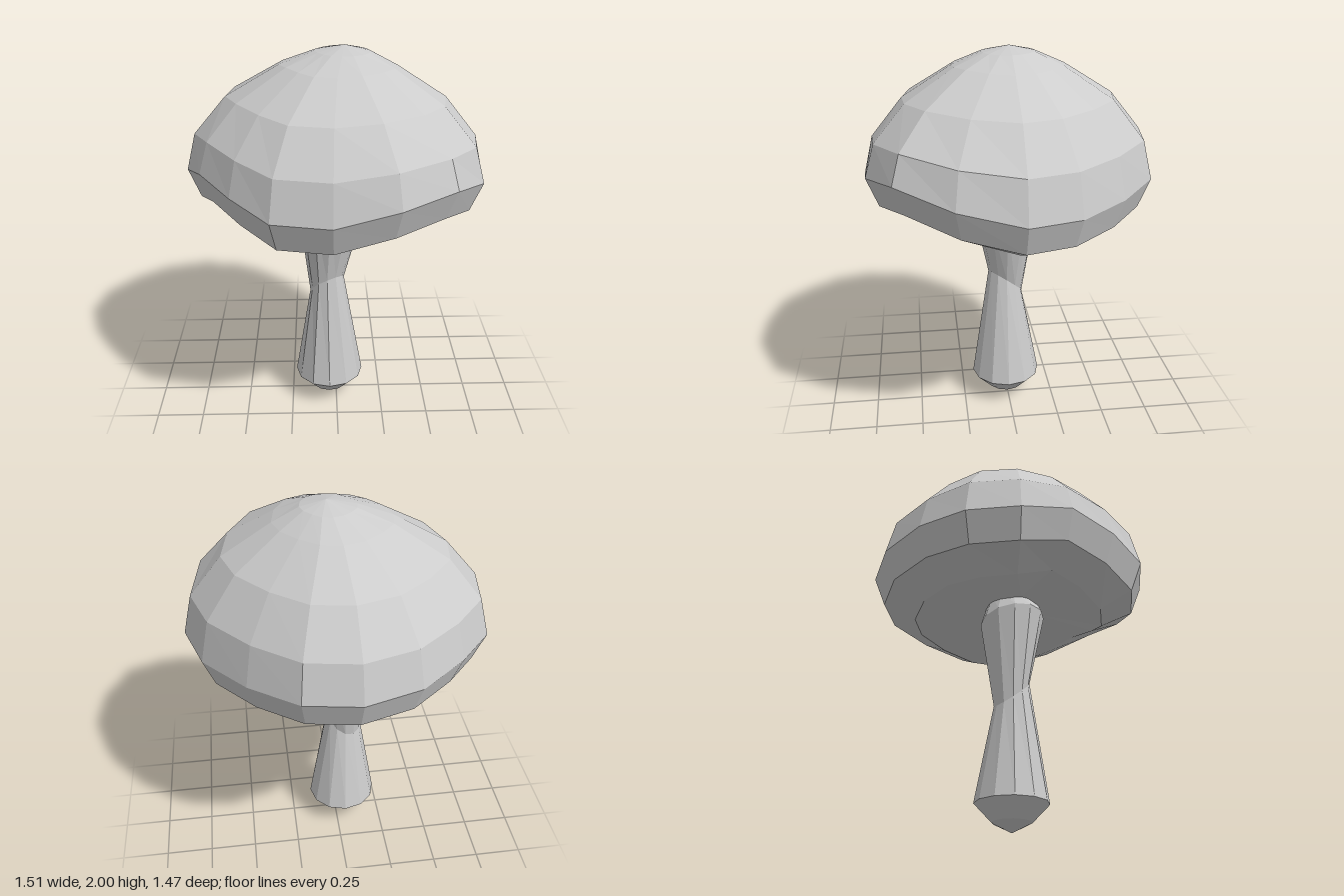
import * as THREE from 'three';

// Skin between successive loops of points, ordered bottom (inside) to top.
function skin(loops) {
  const pos = [];
  const tri = (a, b, c) => {
    if (a.equals(b) || b.equals(c) || c.equals(a)) return;
    for (const p of [a, b, c]) pos.push(p.x, p.y, p.z);
  };
  for (let i = 0; i < loops.length - 1; i++) {
    const lo = loops[i], hi = loops[i + 1], n = lo.length;
    for (let j = 0; j < n; j++) {
      const k = (j + 1) % n;
      tri(lo[j], hi[j], hi[k]);
      tri(lo[j], hi[k], lo[k]);
    }
  }
  const geo = new THREE.BufferGeometry();
  geo.setAttribute('position', new THREE.Float32BufferAttribute(pos, 3));
  geo.computeVertexNormals();
  return geo;
}

// Wavy outer edge of the cap: x, z, y.
const RIM = [
  [0.755, 0, 1.335], [0.70, 0.31, 1.40], [0.53, 0.58, 1.47], [0.27, 0.71, 1.43],
  [-0.03, 0.73, 1.36], [-0.31, 0.67, 1.36], [-0.50, 0.49, 1.41], [-0.66, 0.26, 1.44],
  [-0.76, 0, 1.37], [-0.72, -0.26, 1.36], [-0.54, -0.48, 1.38], [-0.31, -0.66, 1.37],
  [-0.03, -0.735, 1.36], [0.24, -0.69, 1.36], [0.47, -0.50, 1.34], [0.67, -0.26, 1.33],
];

// Rim scaled toward a shifted centre, with the wave faded by a factor.
function capLoop([scale, y, wave, cx = 0]) {
  return RIM.map(([x, z, h]) =>
    new THREE.Vector3(x * scale + cx, y + (h - 1.37) * wave, z * scale));
}

// Tilted circle for the stem.
function stemLoop([r, y, cx, cz, tiltX = 0, tiltZ = 0]) {
  return Array.from({ length: 12 }, (_, i) => {
    const a = (i / 12) * Math.PI * 2;
    const x = r * Math.cos(a), z = r * Math.sin(a);
    return new THREE.Vector3(cx + x, y + x * tiltX + z * tiltZ, cz + z);
  });
}

export function createModel() {
  const grey = new THREE.MeshStandardMaterial({ color: 0xcccccc, flatShading: true });
  grey.name = 'pale grey';
  const group = new THREE.Group();
  group.name = 'mushroom';
  const add = (name, loops) => {
    const mesh = new THREE.Mesh(skin(loops), grey);
    mesh.name = name;
    group.add(mesh);
  };

  // Cap: hollow underside, lip, rim, then the dome
  add('cap', [
    [0, 1.22, 0, -0.03],
    [0.2, 1.2, 0.2, -0.03],
    [0.69, 1.14, 1],
    [0.92, 1.22, 1],
    [1, 1.37, 1],
    [0.935, 1.56, 0.5],
    [0.72, 1.75, 0.2],
    [0.38, 1.905, 0.1, 0.01],
    [0.18, 1.97, 0, 0.03],
    [0, 2.0, 0, 0.04],
  ].map(capLoop));

  // Stem: pointed foot, slanted waist, flared neck
  add('stem', [
    [0, 0, -0.04, 0.01],
    [0.1, 0.05, -0.04, 0.01],
    [0.187, 0.14, -0.04, 0.01],
    [0.092, 0.7, -0.05, 0.01, 0.45, 0.7],
    [0.17, 1.13, -0.03, 0.015, -0.15, 0.15],
    [0.13, 1.24, -0.03, 0.015],
    [0, 1.26, -0.03, 0.015],
  ].map(stemLoop));

  return group;
}
